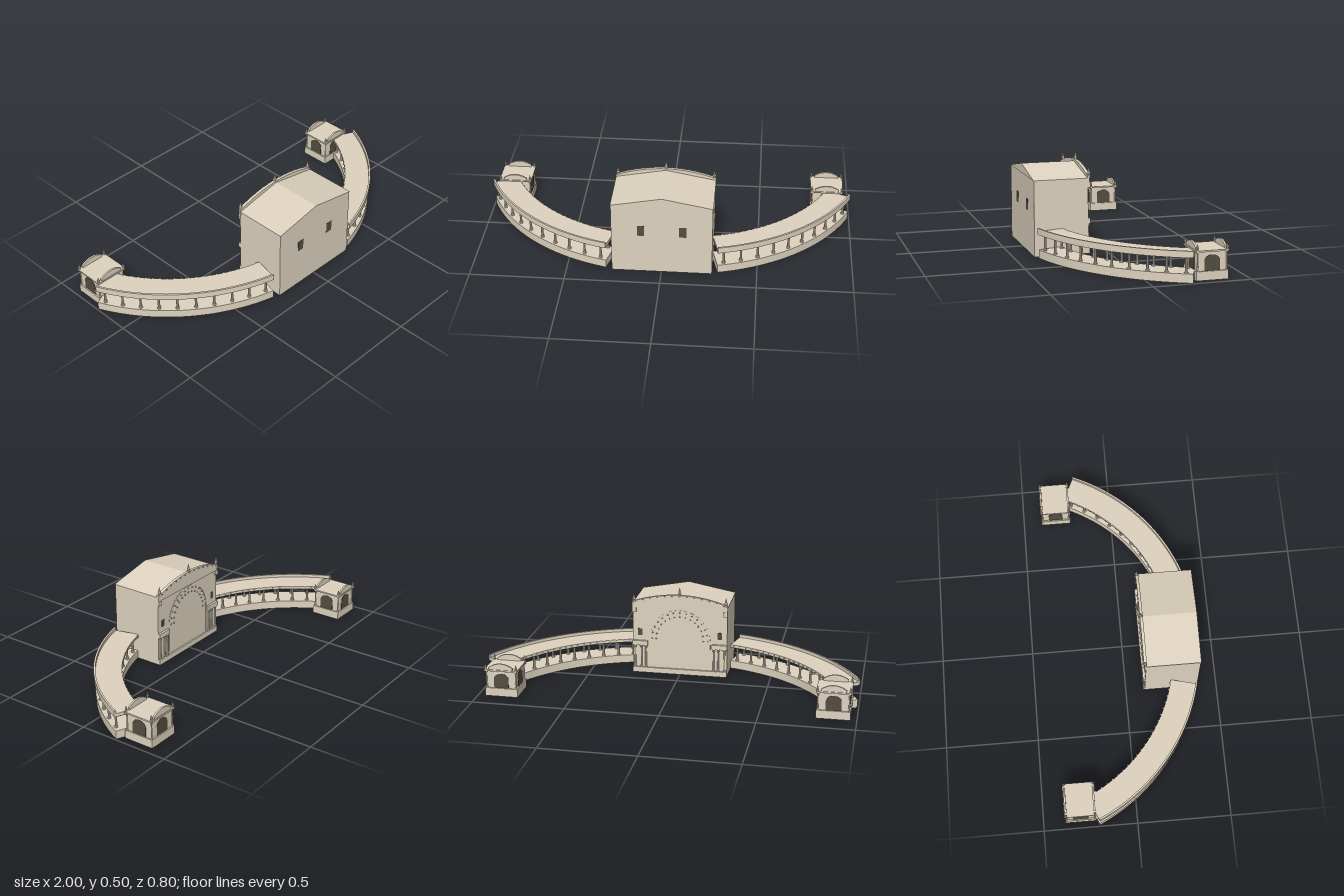
import * as THREE from 'three';

const stone = new THREE.MeshStandardMaterial({ color: 0xded3bf });
stone.name = 'stone';
const dark = new THREE.MeshStandardMaterial({ color: 0x544e42 });
dark.name = 'dark opening';

function add(parent, name, geo, x = 0, y = 0, z = 0, mat = stone) {
  const m = new THREE.Mesh(geo, mat);
  m.name = name;
  m.position.set(x, y, z);
  parent.add(m);
  return m;
}
const box = (w, h, d) => new THREE.BoxGeometry(w, h, d);
const extrude = (shape, depth, curveSegments = 12) =>
  new THREE.ExtrudeGeometry(shape, { depth, bevelEnabled: false, curveSegments });
const lathe = (pts, n) => {
  const g = new THREE.LatheGeometry(pts.map(p => new THREE.Vector2(...p)), n).toNonIndexed();
  g.computeVertexNormals();
  return g;
};

// column of given height, standing on y = 0
const column = (h, r) => lathe([[0, 0], [r * 1.5, 0], [r * 1.5, h * 0.06], [r, h * 0.1],
  [r * 0.85, h * 0.86], [r * 1.3, h * 0.92], [r * 1.5, h * 0.93], [r * 1.5, h], [0, h]], 8);
// pointed finial on a short shaft
const finial = (h, r) => lathe([[0, 0], [r * 0.8, 0], [r * 0.7, h * 0.25], [r, h * 0.3],
  [r * 0.5, h * 0.65], [0, h]], 6);

// four upright walls without floor or ceiling
function wallFrame(w, h, d, t) {
  const rect = (a, b) => [[-a, -b], [a, -b], [a, b], [-a, b]].map(p => new THREE.Vector2(...p));
  const s = new THREE.Shape(rect(w / 2, d / 2));
  s.holes.push(new THREE.Path(rect(w / 2 - t, d / 2 - t)));
  return extrude(s, h).rotateX(-Math.PI / 2);
}

// round-headed opening, base at y = 0; rise is the height of the curved head
function archShape(w, h, rise = w / 2) {
  const s = new THREE.Shape();
  s.moveTo(-w / 2, 0);
  s.lineTo(w / 2, 0);
  s.lineTo(w / 2, h - rise);
  s.absellipse(0, h - rise, w / 2, rise, 0, Math.PI, false);
  return s;
}

// plan of the curved wing: arc centre and end angles
const CX = 0.0475, CZ = -0.63, A0 = 24.3 * Math.PI / 180, A1 = 76.3 * Math.PI / 180;
function sector(r0, r1, h) {
  const s = new THREE.Shape();
  s.absarc(CX, -CZ, r1, -A1, -A0, false);
  s.absarc(CX, -CZ, r0, -A0, -A1, true);
  s.closePath();
  return extrude(s, h, 14).rotateX(-Math.PI / 2);
}
// place a part on the wing at a radius and angle, turned to face outward
function addOnArc(g, name, geo, r, a, y) {
  add(g, name, geo, CX + r * Math.cos(a), y, CZ + r * Math.sin(a)).rotation.y = -a;
}

function buildColonnade() {
  const g = new THREE.Group();
  // base, hollow underneath
  add(g, 'baseTop', sector(0.905, 1.038, 0.004), 0, 0.041, 0);
  add(g, 'baseOuterWall', sector(1.034, 1.038, 0.041));
  add(g, 'baseInnerWall', sector(0.905, 0.909, 0.041));
  for (const a of [A0 + 0.002, A1 - 0.002]) addOnArc(g, 'baseEnd', box(0.13, 0.041, 0.004), 0.9715, a, 0.0205);
  // low roof behind an outer parapet
  add(g, 'colonnadeSoffit', sector(0.905, 1.034, 0.003), 0, 0.1225, 0, dark);
  add(g, 'colonnadeRoof', sector(0.9, 1.036, 0.016), 0, 0.125, 0);
  add(g, 'colonnadeParapet', sector(1.035, 1.045, 0.033), 0, 0.125, 0);
  const colGeo = column(0.08, 0.0068);
  for (let i = 0; i < 10; i++) {
    const a = A0 + 0.035 + (A1 - A0 - 0.07) * i / 9;
    for (const r of [0.922, 1.02]) addOnArc(g, 'column', colGeo, r, a, 0.045);
  }
  // small brackets along the inner edge
  const bracket = box(0.008, 0.007, 0.007);
  for (let i = 0; i < 22; i++) {
    addOnArc(g, 'bracket', bracket, 0.898, A0 + 0.02 + (A1 - A0 - 0.04) * i / 21, 0.136);
  }
  return g;
}

function buildPavilion() {
  const g = new THREE.Group();
  // base, hollow underneath
  add(g, 'pavilionBase', wallFrame(0.176, 0.045, 0.166, 0.004));
  add(g, 'pavilionFloor', box(0.17, 0.004, 0.16), 0, 0.043, 0);
  add(g, 'pavilionWalls', box(0.16, 0.095, 0.15), 0, 0.0925, 0);
  add(g, 'pavilionCornice', box(0.18, 0.008, 0.17), 0, 0.144, 0);
  const post = column(0.095, 0.004), spike = finial(0.034, 0.007);
  for (const sx of [-1, 1]) for (const sz of [-1, 1]) {
    add(g, 'cornerColumn', post, sx * 0.08, 0.045, sz * 0.075);
    add(g, 'cornerFinial', spike, sx * 0.083, 0.148, sz * 0.077);
  }
  // arched opening on every side
  const arch = extrude(archShape(0.08, 0.08, 0.03), 0.002);
  for (let k = 0; k < 4; k++) {
    const a = k * Math.PI / 2, d = k % 2 ? 0.08 : 0.075;
    add(g, 'archedOpening', arch, Math.sin(a) * d, 0.045, Math.cos(a) * d, dark).rotation.y = a;
  }
  // curved pediments on the two long sides
  const s = new THREE.Shape();
  s.moveTo(-0.065, 0);
  s.lineTo(0.065, 0);
  s.lineTo(0.065, 0.012);
  s.quadraticCurveTo(0, 0.056, -0.065, 0.012);
  for (const z of [-0.081, 0.071]) add(g, 'curvedPediment', extrude(s, 0.01), 0, 0.148, z);
  return g;
}

function buildHall() {
  const g = new THREE.Group();
  g.name = 'hall';
  g.position.x = 0.002;
  add(g, 'hallWalls', wallFrame(0.526, 0.4, 0.289, 0.004), 0, 0, 0.2495);
  const roof = new THREE.Shape();
  roof.moveTo(-0.265, 0.4);
  roof.lineTo(0.265, 0.4);
  roof.lineTo(0, 0.45);
  add(g, 'gableRoof', extrude(roof, 0.291), 0, 0, 0.106);
  for (const sx of [-1, 1]) add(g, 'window', box(0.038, 0.06, 0.002), sx * 0.109, 0.25, 0.394, dark);

  // curved parapet over the stage front, with a projecting cornice
  const topY = x => 0.41 + 0.048 * (1 - (x / 0.265) ** 2);
  const band = (lower, upper) => {
    const xs = Array.from({ length: 17 }, (_, i) => -0.265 + 0.53 * i / 16);
    return new THREE.Shape([
      ...xs.map(x => new THREE.Vector2(x, upper(x))),
      ...xs.reverse().map(x => new THREE.Vector2(x, lower(x)))]);
  };
  add(g, 'parapet', extrude(band(() => 0.375, topY), 0.012), 0, 0, 0.098);
  add(g, 'parapetCornice', extrude(band(x => topY(x) - 0.008, x => topY(x) + 0.001), 0.016), 0, 0, 0.094);
  const stud = new THREE.ConeGeometry(0.0045, 0.009, 6);
  for (let i = 0; i < 13; i++) {
    const x = -0.245 + 0.49 * i / 12;
    add(g, 'parapetStud', stud, x, topY(x), 0.09);
  }
  for (const x of [-0.255, 0, 0.255]) add(g, 'roofFinial', finial(0.054, 0.01), x, topY(x) - 0.008, 0.1);

  // great arch: shallow moulding and two rows of studs
  const ring = archShape(0.34, 0.34);
  ring.holes.push(archShape(0.33, 0.335));
  add(g, 'archMoulding', extrude(ring, 0.002, 20), 0, 0.03, 0.1035);
  for (const r of [0.132, 0.155]) for (let i = 0; i < 15; i++) {
    const a = Math.PI * i / 14;
    add(g, 'archStud', stud, r * Math.cos(a), 0.205 + r * Math.sin(a), 0.1);
  }

  // paired columns, their entablature and a small window on each side
  const colGeo = column(0.13, 0.005);
  add(g, 'stageStep', box(0.526, 0.03, 0.01), 0, 0.015, 0.101);
  for (const sx of [-1, 1]) {
    for (const x of [0.19, 0.215, 0.25]) add(g, 'stageColumn', colGeo, sx * x, 0.03, 0.1);
    add(g, 'stageEntablature', box(0.085, 0.026, 0.014), sx * 0.2215, 0.173, 0.099);
    add(g, 'stageWindow', box(0.024, 0.038, 0.003), sx * 0.222, 0.235, 0.1045, dark);
    add(g, 'cornerCap', box(0.022, 0.025, 0.012), sx * 0.254, 0.363, 0.1);
  }
  return g;
}

export function createModel() {
  const model = new THREE.Group();
  model.add(buildHall());
  const left = buildColonnade();
  left.name = 'leftColonnade';
  const right = buildColonnade();
  right.name = 'rightColonnade';
  right.scale.x = -1;
  const leftPavilion = buildPavilion();
  leftPavilion.name = 'leftPavilion';
  leftPavilion.position.set(0.871, 0, -0.314);
  const rightPavilion = buildPavilion();
  rightPavilion.name = 'rightPavilion';
  rightPavilion.position.set(-0.879, 0, -0.3);
  model.add(left, right, leftPavilion, rightPavilion);
  return model;
}
